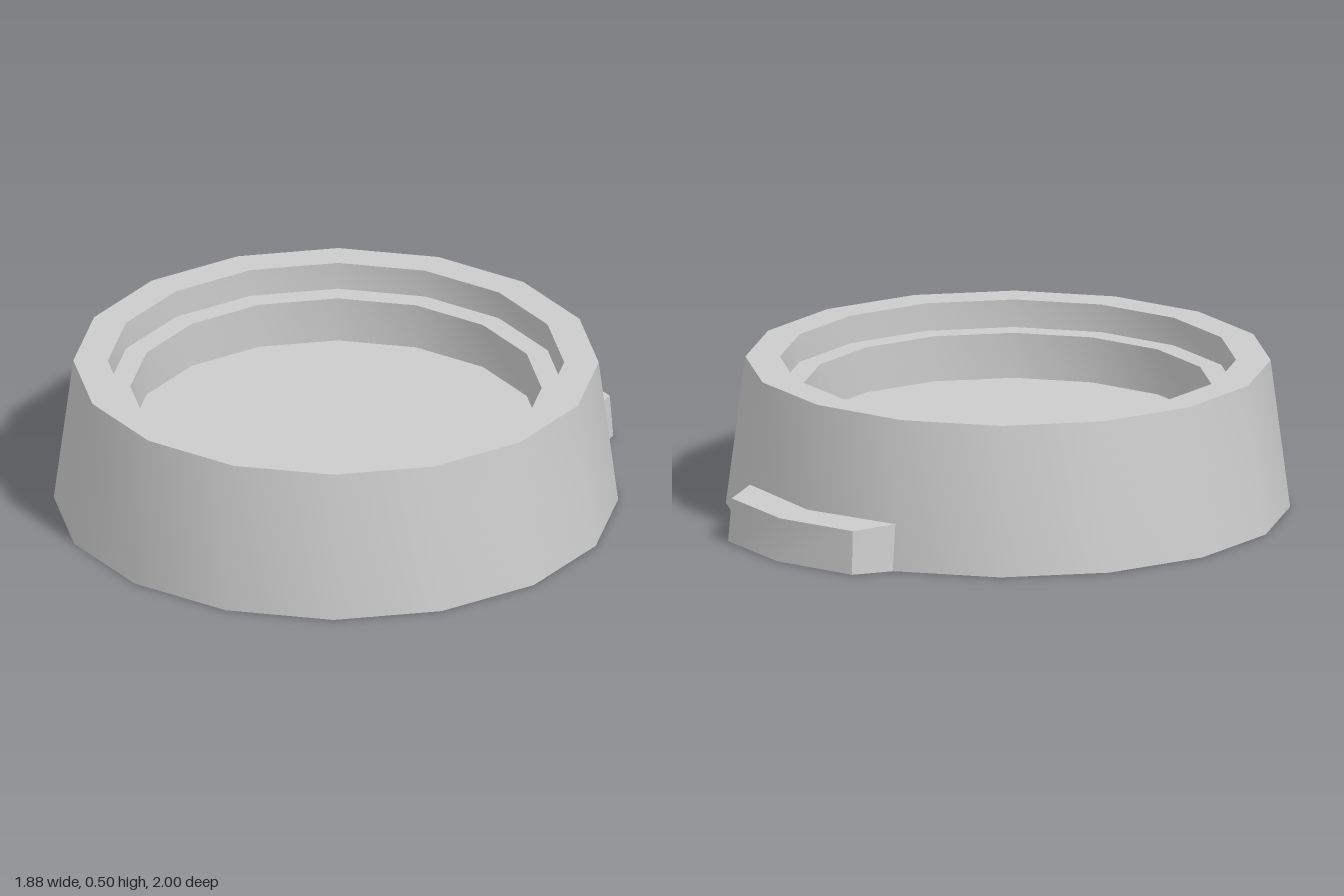
import * as THREE from 'three';
import { toCreasedNormals } from 'three/addons/utils/BufferGeometryUtils.js';

const material = new THREE.MeshStandardMaterial({ color: 0xcccccc });
const CREASE = 0.6;
const BODY_Z = 0.06;

function addPart(group, name, geometry) {
  const mesh = new THREE.Mesh(toCreasedNormals(geometry, CREASE), material);
  mesh.name = name;
  group.add(mesh);
  return mesh;
}

// Tapered 16-sided dish with a stepped recess in the top
function dishGeometry() {
  const profile = [
    [0, 0], [0.94, 0], [0.875, 0.505], [0.76, 0.505],
    [0.76, 0.41], [0.685, 0.41], [0.685, 0.255], [0, 0.255],
  ].map(([r, y]) => new THREE.Vector2(r, y));
  return new THREE.LatheGeometry(profile, 16);
}

// Thumb tab: two outlines joined by side walls, capped by fans from the inner middle
function tabGeometry() {
  const bottom = [[-0.36, 0, -0.81], [-0.3, 0, -0.94], [0, 0, -1], [0.3, 0, -0.94], [0.36, 0, -0.81]];
  const top = [[-0.352, 0.157, -0.79], [-0.293, 0.147, -0.93], [0, 0.145, -0.986], [0.293, 0.147, -0.93], [0.352, 0.157, -0.79]];
  const bottomMid = [0, 0, -0.88];
  const topMid = [0, 0.152, -0.86];
  const positions = [];
  const tri = (a, b, c) => positions.push(...a, ...b, ...c);
  for (let i = 0; i < 4; i++) {
    const j = i + 1;
    tri(bottom[i], top[i], bottom[j]);
    tri(top[i], top[j], bottom[j]);
    tri(topMid, top[j], top[i]);
    tri(bottomMid, bottom[i], bottom[j]);
  }
  const geometry = new THREE.BufferGeometry();
  geometry.setAttribute('position', new THREE.Float32BufferAttribute(positions, 3));
  return geometry;
}

export function createModel() {
  const group = new THREE.Group();
  group.name = 'lid';
  addPart(group, 'dish', dishGeometry()).position.z = BODY_Z;
  addPart(group, 'thumbTab', tabGeometry());
  return group;
}
